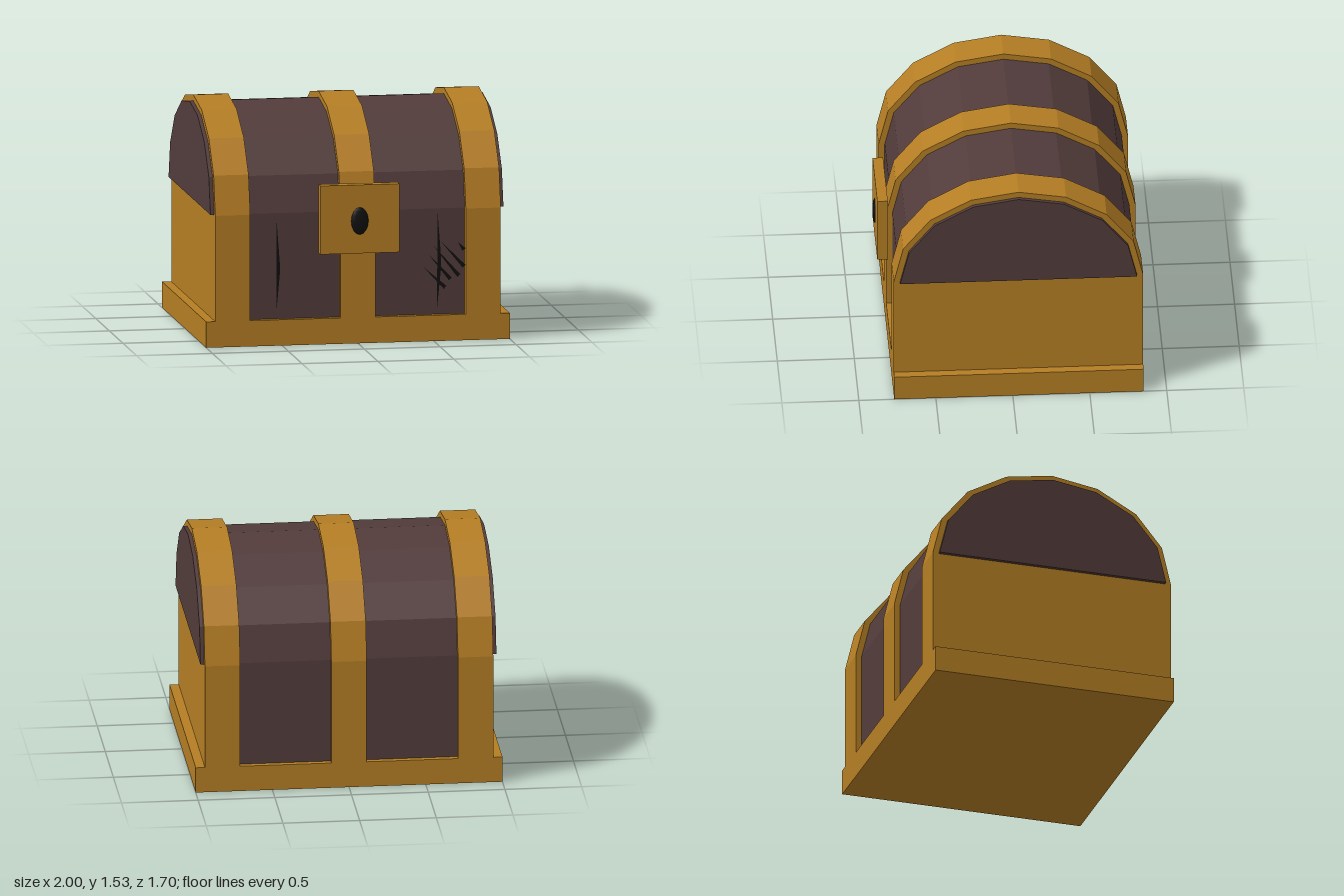
import * as THREE from 'three';

const gold = new THREE.MeshStandardMaterial({ color: 0xb57e24 });
gold.name = 'gold trim';
const wood = new THREE.MeshStandardMaterial({ color: 0x523c3b });
wood.name = 'dark wood';
const black = new THREE.MeshStandardMaterial({ color: 0x101010, side: THREE.DoubleSide });
black.name = 'black';

const MID_Z = -0.04;   // middle of the chest in depth
const BASE_TOP = 0.17;
const LID_Y = 0.865;   // where the lid meets the box

export function createModel() {
  const chest = new THREE.Group();
  chest.name = 'treasureChest';

  function add(name, geometry, material, x = 0, y = 0, z = 0) {
    const mesh = new THREE.Mesh(geometry, material);
    mesh.name = name;
    mesh.position.set(x, y, z);
    chest.add(mesh);
    return mesh;
  }

  // Eight-sided arch over straight walls, extruded along x
  function archGeometry(halfDepth, rise, bottom, width) {
    const shape = new THREE.Shape();
    shape.moveTo(-halfDepth, bottom);
    shape.lineTo(halfDepth, bottom);
    for (let i = 0; i <= 8; i++) {
      const a = (i / 8) * Math.PI;
      if (bottom === LID_Y && i === 0) continue;
      if (bottom === LID_Y && i === 8) continue;
      shape.lineTo(halfDepth * Math.cos(a), LID_Y + rise * Math.sin(a));
    }
    const g = new THREE.ExtrudeGeometry(shape, { depth: width, bevelEnabled: false });
    return g.translate(0, 0, -width / 2).rotateY(Math.PI / 2);
  }

  // Base plinth
  add('base', new THREE.BoxGeometry(2, BASE_TOP, 1.62), gold, 0, BASE_TOP / 2, MID_Z);

  // Wooden box and its domed lid
  const boxHeight = LID_Y - BASE_TOP;
  add('box', new THREE.BoxGeometry(1.84, boxHeight, 1.54), wood, 0, BASE_TOP + boxHeight / 2, MID_Z);
  add('lid', archGeometry(0.77, 0.625, LID_Y, 1.93), wood, 0, 0, MID_Z);

  // Three gold bands wrapping box and lid
  const bands = [['rightBand', -0.825], ['middleBand', 0], ['leftBand', 0.825]];
  for (const [name, x] of bands) {
    add(name, archGeometry(0.81, 0.665, BASE_TOP, 0.23), gold, x, 0, MID_Z);
  }

  // Lock plate with keyhole
  add('lockPlate', new THREE.BoxGeometry(0.52, 0.45, 0.068), gold, 0, 0.827, 0.802);
  add('keyhole', new THREE.SphereGeometry(1, 12, 8), black, 0, 0.815, 0.835).scale.set(0.058, 0.09, 0.018);

  // Thin cracks on the front boards
  function crack(name, points) {
    const shape = new THREE.Shape(points.map(([x, y]) => new THREE.Vector2(x, y)));
    add(name, new THREE.ShapeGeometry(shape), black, 0, 0, 0.734);
  }
  crack('rightCrack', [[-0.532, 0.21], [-0.509, 0.46], [-0.509, 0.54], [-0.532, 0.84]]);
  crack('leftCrack', [[0.527, 0.21], [0.552, 0.46], [0.552, 0.56], [0.53, 0.85]]);

  // Slanted scratches: pointed at the top, wider at the bottom
  const scratches = [
    [0.44, 0.48, 0.58, 0.345], [0.475, 0.56, 0.615, 0.4], [0.5, 0.625, 0.67, 0.42],
    [0.555, 0.645, 0.705, 0.48], [0.665, 0.64, 0.705, 0.59],
  ];
  for (const [x0, y0, x1, y1] of scratches) {
    const len = Math.hypot(x1 - x0, y1 - y0);
    const nx = ((y0 - y1) / len) * 0.013, ny = ((x1 - x0) / len) * 0.013;
    crack('scratch', [[x0, y0], [x1 - nx, y1 - ny], [x1 + nx, y1 + ny]]);
  }

  return chest;
}
